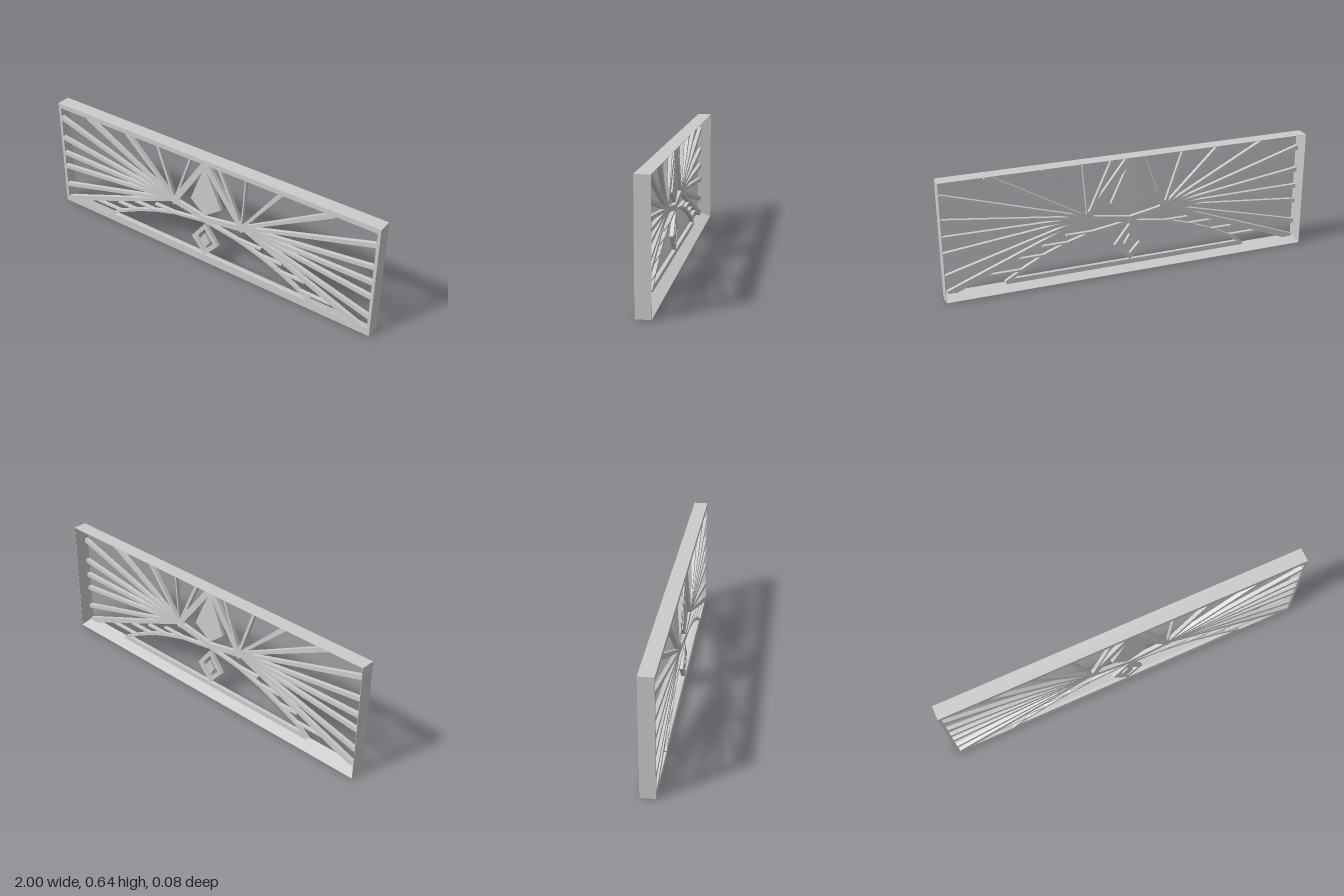
import * as THREE from 'three';

const FRONT = 0.038, BACK = -0.038, DEPTH = 0.02;
const material = new THREE.MeshStandardMaterial({ color: 0xcccccc, flatShading: true });

// Flat plate flush with the front, from an outline and optional hole
function plate(name, points, hole) {
  const toVec = ([x, y]) => new THREE.Vector2(x, y);
  const shape = new THREE.Shape(points.map(toVec));
  if (hole) shape.holes.push(new THREE.Path(hole.map(toVec)));
  const geometry = new THREE.ExtrudeGeometry(shape, { depth: DEPTH, bevelEnabled: false });
  geometry.translate(0, 0, FRONT - DEPTH);
  const mesh = new THREE.Mesh(geometry, material);
  mesh.name = name;
  return mesh;
}

// Straight bar between two points, with a width at each end
function bar(name, [ax, ay], [bx, by], wa, wb = wa) {
  const length = Math.hypot(bx - ax, by - ay);
  const nx = -(by - ay) / length / 2, ny = (bx - ax) / length / 2;
  return plate(name, [
    [ax - nx * wa, ay - ny * wa], [bx - nx * wb, by - ny * wb],
    [bx + nx * wb, by + ny * wb], [ax + nx * wa, ay + ny * wa],
  ]);
}

// Outer frame: wedge section, full opening at the back and narrower in front
function frame() {
  const rect = (x, y0, y1, z) => [[-x, y0, z], [x, y0, z], [x, y1, z], [-x, y1, z]];
  const loops = [
    rect(1, 0, 0.64, BACK), rect(1, 0, 0.64, FRONT),
    rect(0.984, 0.028, 0.613, FRONT), rect(0.998, 0.002, 0.638, BACK),
  ];
  const position = [];
  loops.forEach((p, i) => {
    const q = loops[(i + 1) % loops.length];
    for (let j = 0; j < 4; j++) {
      const k = (j + 1) % 4;
      for (const v of [p[j], p[k], q[k], p[j], q[k], q[j]]) position.push(...v);
    }
  });
  const geometry = new THREE.BufferGeometry();
  geometry.setAttribute('position', new THREE.Float32BufferAttribute(position, 3));
  geometry.computeVertexNormals();
  const mesh = new THREE.Mesh(geometry, material);
  mesh.name = 'frame';
  return mesh;
}

const diamond = (w, y0, y1, y2) => [[0, y0], [w, y1], [0, y2], [-w, y1]];

export function createModel() {
  const model = new THREE.Group();
  model.name = 'grillePanel';
  model.add(frame());

  // Ray fans: end points on the frame with the width there
  const fans = [
    { name: 'rightFan', hub: [-0.2, 0.32], rays: [
      [-0.988, 0.55, 0.026], [-0.988, 0.422, 0.024], [-0.988, 0.323, 0.024],
      [-0.988, 0.235, 0.024], [-0.988, 0.112, 0.024], [-0.975, 0.02, 0.034],
      [-0.79, 0.618, 0.028], [-0.515, 0.618, 0.026], [-0.305, 0.618, 0.016],
      [-0.09, 0.618, 0.012]] },
    { name: 'leftFan', hub: [0.23, 0.32], rays: [
      [0.988, 0.545, 0.026], [0.988, 0.415, 0.024], [0.988, 0.323, 0.024],
      [0.988, 0.235, 0.024], [0.988, 0.112, 0.024], [0.975, 0.02, 0.034],
      [0.755, 0.618, 0.028], [0.46, 0.618, 0.024], [0.253, 0.618, 0.008],
      [0.09, 0.618, 0.018]] },
  ];
  for (const { name, hub, rays } of fans) {
    const fan = new THREE.Group();
    fan.name = name;
    for (const [x, y, w] of rays) fan.add(bar('ray', hub, [x, y], Math.min(w, 0.015), w));
    const [x, y] = hub;
    fan.add(plate('hub', [[x - 0.04, y], [x, y - 0.03], [x + 0.04, y], [x, y + 0.03]]));
    // Triangle side and chevron arm meeting on the centre line
    fan.add(bar('triangleSide', hub, [0, 0.615], 0.034));
    fan.add(bar('chevronArm', [x, y - 0.005], [0, 0.277], 0.03));
    model.add(fan);
  }

  // Kite and nested diamond on the centre line
  model.add(plate('kite', [[0, 0.6], [-0.09, 0.378], [0, 0.302], [0.105, 0.378]]));
  model.add(plate('diamondRing', diamond(0.085, 0.045, 0.14, 0.25), diamond(0.056, 0.08, 0.14, 0.215)));
  model.add(plate('diamondCentre', diamond(0.031, 0.095, 0.14, 0.19)));

  // Low arch made of straight pieces
  const arch = new THREE.Group();
  arch.name = 'arch';
  const path = [[-0.67, 0.028], [-0.6, 0.082], [-0.45, 0.153], [-0.34, 0.195], [-0.2, 0.235], [0, 0.265],
    [0.2, 0.235], [0.34, 0.195], [0.45, 0.155], [0.57, 0.095], [0.68, 0.03]];
  for (let i = 1; i < path.length; i++) arch.add(bar('archPiece', path[i - 1], path[i], 0.015));
  model.add(arch);

  // Short level bars between the arch and the lowest rays
  const rungs = [
    [-0.77, -0.585, 0.09], [-0.6, -0.48, 0.143], [-0.48, -0.335, 0.197], [-0.335, -0.18, 0.237],
    [0.19, 0.35, 0.237], [0.335, 0.48, 0.197], [0.44, 0.62, 0.148], [0.585, 0.77, 0.085],
  ];
  for (const [x0, x1, y] of rungs) model.add(bar('rung', [x0, y], [x1, y], 0.009));

  // Raised ledge along the bottom rail
  model.add(plate('bottomLedge', [[-0.67, 0.02], [0.68, 0.02], [0.66, 0.047], [-0.65, 0.047]]));
  return model;
}
